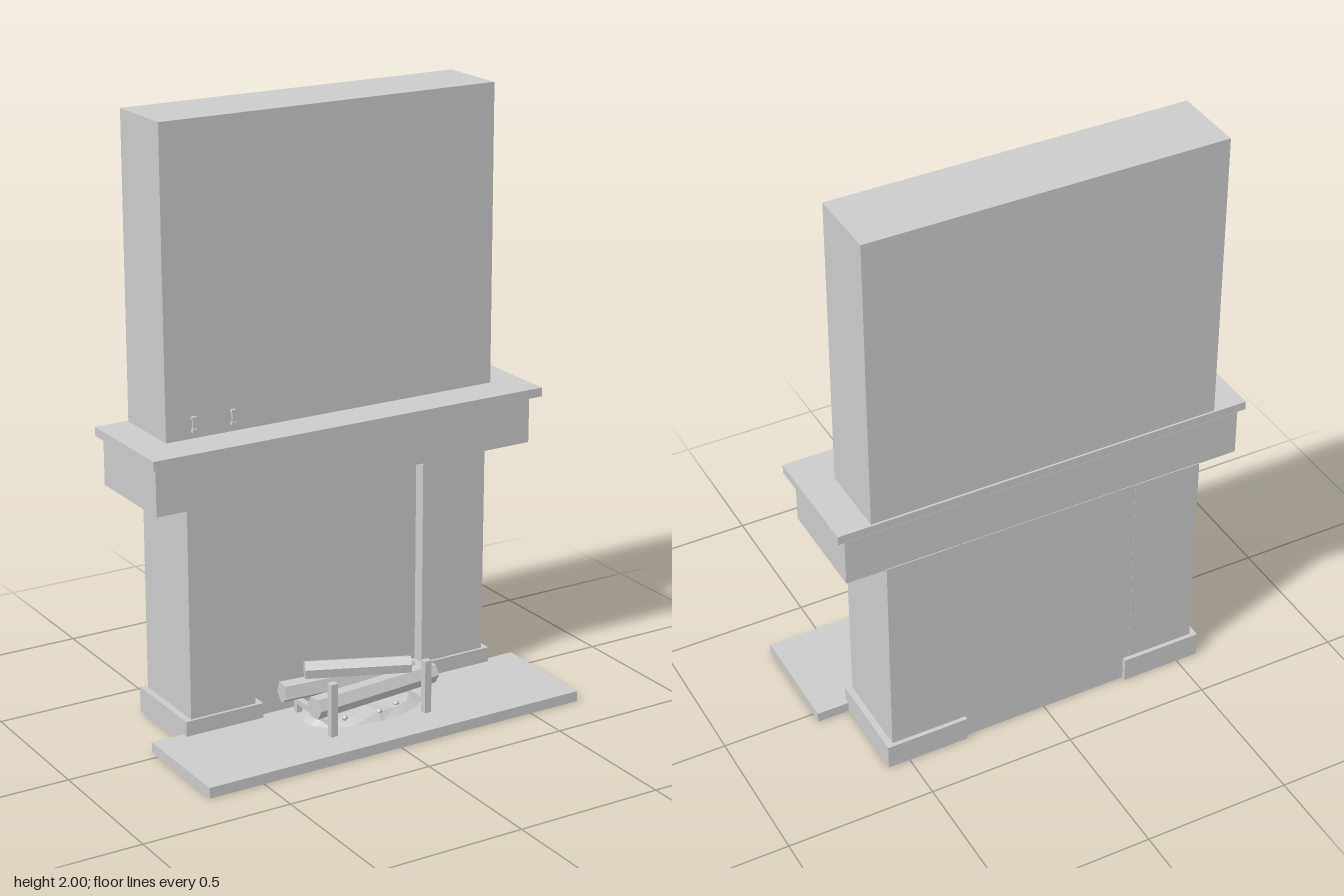
import * as THREE from 'three';

export function createModel() {
  const group = new THREE.Group();
  const stone = new THREE.MeshStandardMaterial({ color: 0xcccccc });
  stone.name = 'plain grey';
  stone.flatShading = true;

  const add = (name, geometry) => {
    const mesh = new THREE.Mesh(geometry, stone);
    mesh.name = name;
    group.add(mesh);
    return mesh;
  };

  // box given by its extents on each axis
  const box = (name, x0, x1, y0, y1, z0, z1) => {
    const mesh = add(name, new THREE.BoxGeometry(x1 - x0, y1 - y0, z1 - z0));
    mesh.position.set((x0 + x1) / 2, (y0 + y1) / 2, (z0 + z1) / 2);
    return mesh;
  };

  // masonry
  box('hearth', -0.69, 0.685, 0, 0.035, -0.04, 0.34);
  box('fireboxBack', -0.32, 0.315, 0, 0.812, -0.323, -0.07);
  box('mantelBeam', -0.69, 0.687, 0.81, 0.968, -0.321, 0.03);
  box('mantelShelf', -0.715, 0.711, 0.974, 1.004, -0.327, 0.067);
  box('mantelCore', -0.6, 0.6, 0.96, 0.98, -0.315, 0.02);

  // chimney breast, its front leaning back a little towards the top
  const chimney = box('chimneyBreast', -0.602, 0.598, 1, 2, -0.32, -0.067);
  const p = chimney.geometry.attributes.position;
  for (let i = 0; i < p.count; i++) {
    if (p.getY(i) > 0 && p.getZ(i) > 0) p.setZ(i, p.getZ(i) - 0.006);
  }
  chimney.geometry.computeVertexNormals();

  // columns on plinths
  for (const [side, a, b] of [['right', -0.555, -0.32], ['left', 0.313, 0.553]]) {
    box(side + 'Column', a, b, 0.08, 0.812, -0.324, -0.028);
    box(side + 'Plinth', a - 0.022, b + 0.022, 0, 0.086, -0.338, -0.018);
  }

  // small hooks on the chimney breast
  for (const x of [-0.507, -0.369]) {
    box('hookStem', x - 0.004, x + 0.004, 1.03, 1.075, -0.07, -0.059);
    box('hookTop', x - 0.008, x + 0.008, 1.066, 1.076, -0.07, -0.055);
    box('hookFoot', x - 0.008, x + 0.008, 1.026, 1.036, -0.07, -0.055);
  }

  // firedogs: tall front post, rail and short rear leg
  for (const x of [-0.177, 0.174]) {
    box('firedogPost', x - 0.012, x + 0.012, 0.035, 0.215, 0.202, 0.226);
    box('firedogRail', x - 0.01, x + 0.01, 0.066, 0.084, -0.012, 0.204);
    box('firedogRearLeg', x - 0.01, x + 0.01, 0.035, 0.068, -0.012, 0.006);
  }

  // faceted logs, each between two end points
  const log = (name, from, to, radius, sides, roll) => {
    const a = new THREE.Vector3(...from);
    const b = new THREE.Vector3(...to);
    const dir = b.clone().sub(a);
    const geometry = new THREE.CylinderGeometry(radius * 0.95, radius, dir.length(), sides);
    geometry.rotateY(roll);
    const mesh = add(name, geometry);
    mesh.position.copy(a).lerp(b, 0.5);
    mesh.quaternion.setFromUnitVectors(new THREE.Vector3(0, 1, 0), dir.normalize());
  };
  log('frontLog', [-0.218, 0.121, 0.168], [0.258, 0.121, 0.121], 0.038, 6, 0.1);
  log('rearLog', [-0.245, 0.121, 0.01], [0.225, 0.121, 0.045], 0.036, 5, 0.3);
  log('topLog', [-0.165, 0.184, 0.018], [0.15, 0.186, 0.158], 0.032, 6, 0.3);

  // low uneven ash heap
  const ash = new THREE.CylinderGeometry(0.17, 0.22, 0.022, 14);
  const q = ash.attributes.position;
  for (let i = 0; i < q.count; i++) {
    const angle = Math.atan2(q.getZ(i), q.getX(i));
    if (q.getY(i) > 0) q.setY(i, q.getY(i) + 0.005 * Math.sin(angle * 5));
  }
  ash.scale(1, 1, 0.52);
  ash.computeVertexNormals();
  add('ashHeap', ash).position.set(0.01, 0.045, 0.09);

  // embers in the ash
  for (const [x, z] of [[-0.1, 0.16], [0.02, 0.175], [0.1, 0.15], [-0.02, 0.07]]) {
    add('ember', new THREE.IcosahedronGeometry(0.011, 0)).position.set(x, 0.057, z);
  }
  return group;
}
